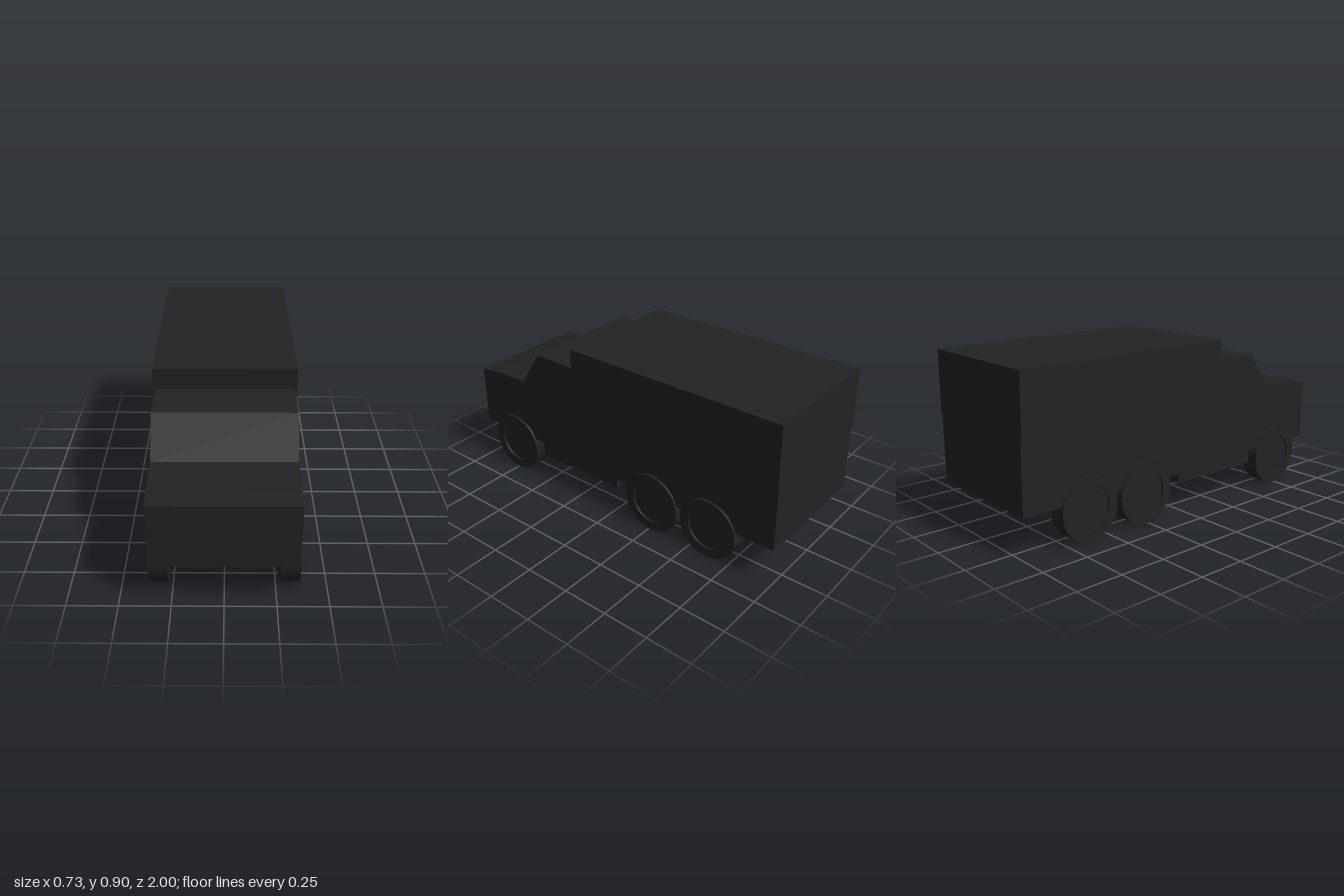
import * as THREE from 'three';
import { toCreasedNormals } from 'three/addons/utils/BufferGeometryUtils.js';

const WHEEL_R = 0.167;
const AXLES = [0.75, -0.26, -0.62];
const WHEEL_IN = 0.268, WHEEL_OUT = 0.365;

export function createModel() {
  const model = new THREE.Group();
  model.name = 'truck';
  const paint = new THREE.MeshStandardMaterial({ color: 0x222222 });

  function add(geometry, name) {
    const mesh = new THREE.Mesh(geometry, paint);
    mesh.name = name;
    model.add(mesh);
    return mesh;
  }

  // Body: side profile (z, y) with wheel tunnels, extruded across the width
  const side = new THREE.Shape();
  const archR = WHEEL_R + 0.002;
  function arch(z, bottom) {
    const a = Math.asin((bottom - WHEEL_R) / archR);
    side.lineTo(z + archR * Math.cos(a), bottom);
    side.absarc(z, WHEEL_R, archR, a, Math.PI - a, false);
  }
  side.moveTo(1, 0.565);
  side.quadraticCurveTo(0.87, 0.59, 0.66, 0.59); // bonnet
  side.lineTo(0.53, 0.787); // windscreen
  side.lineTo(0.27, 0.787); // cab roof
  side.lineTo(0.27, 0.565);
  side.lineTo(-1, 0.565);
  side.lineTo(-1, 0.21);
  // The underside runs from the tail to the nose
  for (const z of [AXLES[2], AXLES[1]]) {
    const a = Math.asin((0.21 - WHEEL_R) / archR);
    side.lineTo(z - archR * Math.cos(a), 0.21);
    side.absarc(z, WHEEL_R, archR, Math.PI - a, a, true);
  }
  side.lineTo(-0.02, 0.21);
  side.lineTo(-0.02, 0.16);
  side.lineTo(0.53, 0.16);
  side.lineTo(0.53, 0.235);
  const a = Math.asin((0.235 - WHEEL_R) / archR);
  side.lineTo(AXLES[0] - archR * Math.cos(a), 0.235);
  side.absarc(AXLES[0], WHEEL_R, archR, Math.PI - a, a, true);
  side.lineTo(1, 0.235);
  side.closePath();

  const width = 0.708;
  const body = new THREE.ExtrudeGeometry(side, { depth: width, bevelEnabled: false, curveSegments: 20 });
  body.translate(0, 0, -width / 2);
  body.rotateY(-Math.PI / 2);
  add(toCreasedNormals(body, 0.4), 'body');

  // Cargo cover, slightly wider than the body
  const cover = new THREE.BoxGeometry(0.73, 0.332, 1.27);
  cover.translate(0, 0.731, -0.365);
  add(cover, 'cargoCover');

  // Wheels: flat inner face, recessed hub on the outer face
  const w = WHEEL_OUT - WHEEL_IN;
  const profile = [
    [0, 0], [WHEEL_R, 0], [WHEEL_R, w], [0.115, w], [0.115, w - 0.012], [0, w - 0.012],
  ].map(([r, y]) => new THREE.Vector2(r, y));
  const wheel = toCreasedNormals(new THREE.LatheGeometry(profile, 40), 0.5);
  AXLES.forEach((z, i) => {
    for (const s of [1, -1]) {
      const mesh = add(wheel, (s > 0 ? 'left' : 'right') + 'Wheel' + (i + 1));
      mesh.rotation.z = -s * Math.PI / 2;
      mesh.position.set(s * WHEEL_IN, WHEEL_R, z);
    }
  });

  return model;
}
